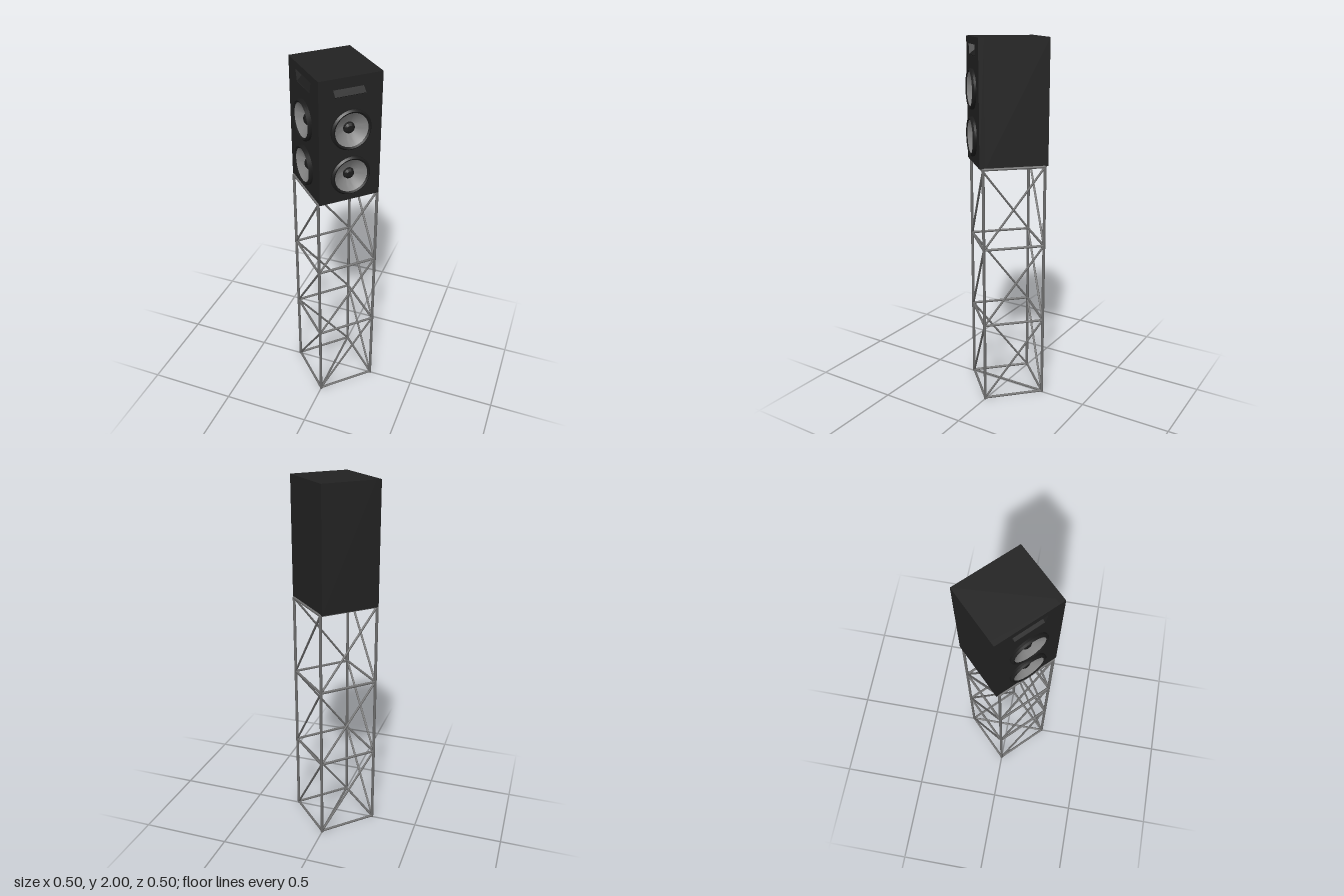
import * as THREE from 'three';
import { toCreasedNormals } from 'three/addons/utils/BufferGeometryUtils.js';

const mat = (name, color) => new THREE.MeshStandardMaterial({ name, color });

export function createModel() {
  const cabinetBlack = mat('cabinetBlack', 0x222222);
  const rubberBlack = mat('rubberBlack', 0x1c1c1c);
  const coneGrey = mat('coneGrey', 0x858585);
  const steelGrey = mat('steelGrey', 0x6c6c6c);

  const model = new THREE.Group();
  model.name = 'speakerTower';

  const add = (parent, name, geometry, material, x = 0, y = 0, z = 0) => {
    const mesh = new THREE.Mesh(geometry, material);
    mesh.name = name;
    mesh.position.set(x, y, z);
    parent.add(mesh);
    return mesh;
  };

  // Lattice tower: four legs, rings at each level, one brace per bay and face
  const truss = new THREE.Group();
  truss.name = 'trussTower';
  model.add(truss);

  const rod = (name, a, b, r) => {
    const dir = b.clone().sub(a);
    const mesh = add(truss, name, new THREE.CylinderGeometry(r, r, dir.length(), 10), steelGrey);
    mesh.position.copy(a).add(b).multiplyScalar(0.5);
    mesh.quaternion.setFromUnitVectors(new THREE.Vector3(0, 1, 0), dir.normalize());
  };
  const R = 0.236;
  const levels = [0.008, 0.455, 0.897, 1.337];
  // Corners run anticlockwise seen from above
  const corner = (i, y) => {
    const a = (i * Math.PI) / 2;
    return new THREE.Vector3(R * Math.sin(a), y, R * Math.cos(a));
  };
  for (let i = 0; i < 4; i++) {
    rod('trussLeg', corner(i, 0), corner(i, 1.34), 0.008);
    levels.forEach((y, k) => {
      rod('trussRing', corner(i, y), corner(i + 1, y), 0.007);
      if (k < 3) rod('trussBrace', corner(i, y), corner(i + 1, levels[k + 1]), 0.006);
    });
  }
  for (const y of [levels[0], levels[3]]) rod('trussCrossBar', corner(0, y), corner(2, y), 0.006);

  // Cabinet, turned so that two sides face forwards
  const W = 0.331, D = 0.37, H = 0.66, T = 0.03;
  const cabinet = new THREE.Group();
  cabinet.name = 'speakerCabinet';
  cabinet.position.y = 1.34;
  cabinet.rotation.y = Math.PI / 4;
  model.add(cabinet);
  add(cabinet, 'cabinetBody', new THREE.BoxGeometry(W - T, H, D - T), cabinetBlack, T / 2, H / 2, -T / 2);

  const lathe = (pts) => {
    const g = new THREE.LatheGeometry(pts.map(([x, y]) => new THREE.Vector2(x, y)), 40);
    return toCreasedNormals(g.rotateX(Math.PI / 2), 0.5);
  };
  const rimGeometry = lathe([[0.105, 0], [0.106, 0.012], [0.097, 0.021], [0.088, 0.015]]);
  const coneGeometry = lathe([[0.088, 0.015], [0.06, -0.006], [0.028, -0.022]]);
  const capGeometry = lathe([[0.03, -0.022], [0.027, -0.01], [0.016, -0.002], [0.0001, 0]]);
  const wooferHeights = [0.145, 0.395];

  // Speaker face with woofers and a horn slot; x0 to x1 is the baffle width
  const speakerFace = (name, x0, x1) => {
    const face = new THREE.Group();
    face.name = name;
    cabinet.add(face);
    const shape = new THREE.Shape([[x0, 0], [x1, 0], [x1, H], [x0, H]].map((p) => new THREE.Vector2(...p)));
    shape.holes.push(new THREE.Path([[-0.08, 0.565], [-0.095, 0.622], [0.095, 0.622], [0.08, 0.565]]
      .map((p) => new THREE.Vector2(...p))));
    for (const y of wooferHeights) {
      shape.holes.push(new THREE.Path().absarc(0, y, 0.092, 0, Math.PI * 2, true));
    }
    add(face, 'baffle', new THREE.ExtrudeGeometry(shape, { depth: T, bevelEnabled: false, curveSegments: 20 }),
      cabinetBlack, 0, 0, -T);
    // Sloping floor of the horn
    const floor = add(face, 'hornFloor', new THREE.BoxGeometry(0.16, 0.004, 0.038), rubberBlack, 0, 0.579, -0.016);
    floor.rotation.x = 0.7;
    for (const y of wooferHeights) {
      add(face, 'wooferRim', rimGeometry, rubberBlack, 0, y, 0);
      add(face, 'wooferCone', coneGeometry, coneGrey, 0, y, 0);
      add(face, 'wooferCap', capGeometry, rubberBlack, 0, y, 0);
    }
    return face;
  };
  speakerFace('leftSpeakerFace', -W / 2, W / 2).position.z = D / 2;
  const rightFace = speakerFace('rightSpeakerFace', -D / 2, D / 2 - T);
  rightFace.position.x = -W / 2;
  rightFace.rotation.y = -Math.PI / 2;

  return model;
}
